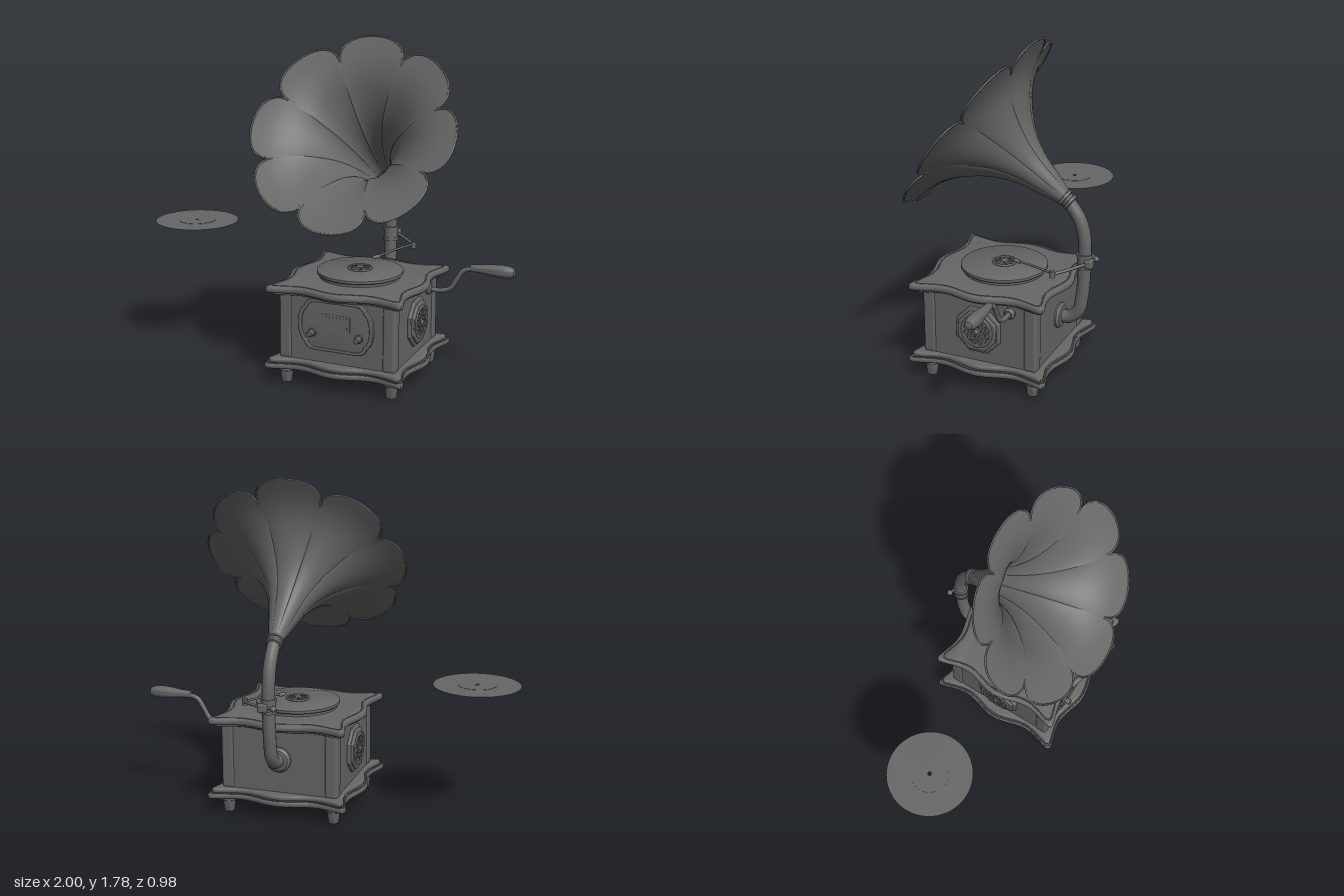
import * as THREE from 'three';
import { toCreasedNormals } from 'three/addons/utils/BufferGeometryUtils.js';
import { RoundedBoxGeometry } from 'three/addons/geometries/RoundedBoxGeometry.js';

const CX = 0.207, CZ = 0.02; // centre of the cabinet

export function createModel() {
  const model = new THREE.Group();
  const grey = new THREE.MeshStandardMaterial({ color: 0x666666, side: THREE.DoubleSide });
  grey.name = 'dark grey';

  const V = (x, y, z) => new THREE.Vector3(x, y, z);
  const add = (name, geo, x = 0, y = 0, z = 0, parent = model) => {
    const mesh = new THREE.Mesh(geo, grey);
    mesh.name = name;
    mesh.position.set(x, y, z);
    parent.add(mesh);
    return mesh;
  };
  const group = (name, x, y, z, parent = model) => {
    const g = new THREE.Group();
    g.name = name;
    g.position.set(x, y, z);
    parent.add(g);
    return g;
  };
  const lathe = (pts, seg = 32) => toCreasedNormals(
    new THREE.LatheGeometry(pts.map(p => new THREE.Vector2(...p)), seg), 0.6);
  const disc = (r, h, seg = 48) => new THREE.CylinderGeometry(r, r, h, seg);
  const tube = (pts, r, seg = 40) =>
    new THREE.TubeGeometry(new THREE.CatmullRomCurve3(pts), seg, r, 16);
  const extrude = (shape, h, b) => toCreasedNormals(new THREE.ExtrudeGeometry(shape, {
    depth: h - 2 * b, bevelThickness: b, bevelSize: b, bevelOffset: -b, bevelSegments: 3, curveSegments: 10,
  }).translate(0, 0, b), 0.6);

  // Wavy square outline shared by the lid and the base
  const wavyOutline = (scale) => {
    const pts = [];
    for (let side = 0; side < 4; side++) {
      const a = side * Math.PI / 2, c = Math.cos(a), s = Math.sin(a);
      const put = (x, y) => pts.push(new THREE.Vector2((x * c - y * s) * scale, (x * s + y * c) * scale));
      for (let i = 0; i <= 24; i++) {
        const t = -0.335 + 0.67 * i / 24;
        put(0.36 + 0.02 * Math.cos(2 * Math.PI * t / 0.4), t);
      }
      for (let i = 1; i < 6; i++) {
        const k = i / 6, m = 2 * k * (1 - k) * 0.388;
        put((1 - k) ** 2 * 0.37 + m + k * k * 0.335, (1 - k) ** 2 * 0.335 + m + k * k * 0.37);
      }
    }
    return pts;
  };
  const plate = (name, y, h, scale, bevel) => add(name,
    extrude(new THREE.Shape(wavyOutline(scale)), h, bevel).rotateX(-Math.PI / 2), CX, y, CZ);
  const bead = (name, y, scale) => add(name, new THREE.TubeGeometry(new THREE.CatmullRomCurve3(
    wavyOutline(scale).map(p => V(p.x, 0, p.y)), true), 240, 0.004, 6, true), CX, y, CZ);

  // Cabinet
  plate('baseLower', 0.085, 0.03, 1.02, 0.01);
  plate('baseUpper', 0.113, 0.028, 0.975, 0.012);
  bead('baseBead', 0.115, 0.995);
  plate('lidMoulding', 0.482, 0.015, 0.94, 0.005);
  plate('lid', 0.494, 0.036, 1, 0.013);
  bead('lidBead', 0.529, 0.93);
  add('cabinetBody', new THREE.BoxGeometry(0.63, 0.36, 0.622), CX, 0.315, CZ);
  for (const sx of [-1, 1]) for (const sz of [-1, 1]) {
    add('cornerPost', new RoundedBoxGeometry(0.07, 0.36, 0.07, 4, 0.016),
      CX + sx * 0.287, 0.315, CZ + sz * 0.283);
    add('foot', lathe([[0, 0], [0.027, 0], [0.029, 0.006], [0.034, 0.06], [0.04, 0.064], [0.04, 0.09], [0, 0.09]], 24),
      CX + sx * 0.293, 0, CZ + sz * 0.287);
  }

  // Front control panel
  const panelShape = (k) => {
    const s = new THREE.Shape();
    s.moveTo(-0.12 * k, -0.135 * k);
    s.lineTo(0.12 * k, -0.135 * k);
    s.quadraticCurveTo(0.165 * k, -0.132 * k, 0.172 * k, -0.098 * k);
    s.bezierCurveTo(0.22 * k, -0.07 * k, 0.22 * k, 0.07 * k, 0.172 * k, 0.098 * k);
    s.quadraticCurveTo(0.165 * k, 0.132 * k, 0.12 * k, 0.135 * k);
    s.lineTo(-0.12 * k, 0.135 * k);
    s.quadraticCurveTo(-0.165 * k, 0.132 * k, -0.172 * k, 0.098 * k);
    s.bezierCurveTo(-0.22 * k, 0.07 * k, -0.22 * k, -0.07 * k, -0.172 * k, -0.098 * k);
    s.quadraticCurveTo(-0.165 * k, -0.132 * k, -0.12 * k, -0.135 * k);
    return s;
  };
  const panel = group('controlPanel', CX, 0.345, 0.33);
  const rim = panelShape(1);
  rim.holes.push(panelShape(0.9));
  add('panelRim', extrude(rim, 0.022, 0.004), 0, 0, 0, panel);
  add('panelFace', extrude(panelShape(0.93), 0.014, 0.003), 0, 0, 0, panel);
  add('display', new THREE.BoxGeometry(0.16, 0.085, 0.008), 0, 0.02, 0.013, panel);
  add('displayGlass', new THREE.BoxGeometry(0.13, 0.06, 0.006), 0, 0.02, 0.016, panel);
  for (const sx of [-1, 1]) {
    add('knob', lathe([[0, 0], [0.022, 0], [0.022, 0.018], [0.017, 0.02], [0.016, 0.045], [0.012, 0.05], [0, 0.05]], 20)
      .rotateX(Math.PI / 2), sx * 0.13, -0.045, 0.006, panel);
  }

  // Side speaker grilles
  const octagon = (r) => {
    const s = new THREE.Shape();
    const q = r * 0.42;
    [[r, -q], [r, q], [q, r], [-q, r], [-r, q], [-r, -q], [-q, -r], [q, -r]]
      .forEach(([x, y], i) => (i ? s.lineTo(x, y) : s.moveTo(x, y)));
    s.closePath();
    return s;
  };
  const hole = (shape, a, r, size) => shape.holes.push(new THREE.Path()
    .absarc(Math.cos(a) * r, Math.sin(a) * r, size, 0, Math.PI * 2, true));
  for (const sx of [-1, 1]) {
    const grille = group('speakerGrille', CX + sx * 0.312, 0.32, CZ);
    grille.rotation.y = sx * Math.PI / 2;
    add('grilleBack', extrude(octagon(0.122), 0.02, 0.006), 0, 0, 0, grille);
    const frame = octagon(0.105);
    hole(frame, 0, 0, 0.085);
    add('grilleFrame', extrude(frame, 0.034, 0.006), 0, 0, 0, grille);
    add('grilleRing', new THREE.TorusGeometry(0.081, 0.008, 10, 40), 0, 0, 0.032, grille);
    const mesh = new THREE.Shape().absarc(0, 0, 0.08, 0, Math.PI * 2);
    for (let i = 0; i < 8; i++) hole(mesh, i * Math.PI / 4, 0.033, 0.010);
    for (let i = 0; i < 12; i++) hole(mesh, (i + 0.5) * Math.PI / 6, 0.061, 0.012);
    add('grilleMesh', extrude(mesh, 0.012, 0.002), 0, 0, 0.026, grille);
    add('grilleBoss', new THREE.SphereGeometry(0.014, 16, 10), 0, 0, 0.034, grille);
  }

  // Turntable with a spoked centre
  add('turntableBase', disc(0.215, 0.025), CX, 0.54, CZ);
  add('turntable', lathe([[0, 0], [0.224, 0], [0.228, 0.004], [0.228, 0.018], [0.222, 0.022], [0, 0.022]], 64), CX, 0.546, CZ);
  const hub = group('turntableHub', CX, 0.57, CZ);
  add('hubRing', new THREE.TorusGeometry(0.06, 0.006, 8, 40).rotateX(Math.PI / 2), 0, 0.003, 0, hub);
  for (let i = 0; i < 8; i++) {
    const spoke = group('hubSpoke', 0, 0, 0, hub);
    spoke.rotation.y = i * Math.PI / 4;
    add('spokeBar', new THREE.BoxGeometry(0.05, 0.012, 0.012), 0.034, 0.003, 0, spoke);
  }
  add('hubPin', lathe([[0.018, -0.002], [0.018, 0.01], [0.008, 0.016], [0, 0.017]], 20), 0, 0, 0, hub);

  // Loose record beside the cabinet
  const recordShape = new THREE.Shape().absarc(0, 0, 0.227, 0, Math.PI * 2);
  hole(recordShape, 0, 0, 0.01);
  const labelShape = new THREE.Shape().absarc(0, 0, 0.1, 0, Math.PI * 2);
  hole(labelShape, 0, 0, 0.01);
  const flat = (shape, h) => toCreasedNormals(new THREE.ExtrudeGeometry(shape,
    { depth: h, bevelEnabled: false, curveSegments: 32 }).rotateX(-Math.PI / 2), 0.6);
  add('record', flat(recordShape, 0.002), -0.773, 0.728, 0.015);
  add('recordLabel', flat(labelShape, 0.005), -0.773, 0.7265, 0.015);

  // Crank
  const crank = group('crank', 0, 0, -0.155);
  add('crankBoss', lathe([[0, 0], [0.03, 0], [0.03, 0.015], [0.02, 0.028], [0, 0.028]], 24).rotateZ(-Math.PI / 2), 0.52, 0.447, 0, crank);
  add('crankRod', tube([V(0.53, 0.447, 0), V(0.6, 0.447, 0), V(0.65, 0.465, 0), V(0.685, 0.52, 0),
    V(0.72, 0.57, 0), V(0.78, 0.588, 0)], 0.013), 0, 0, 0, crank);
  add('crankHandle', lathe([[0, 0], [0.017, 0], [0.02, 0.015], [0.022, 0.05], [0.031, 0.12], [0.034, 0.17],
    [0.031, 0.21], [0.02, 0.234], [0, 0.241]], 24).rotateZ(-Math.PI / 2), 0.759, 0.59, 0, crank);

  // Horn neck
  add('neckFlange', lathe([[0, 0], [0.068, 0], [0.068, 0.012], [0.055, 0.025], [0.036, 0.028]]).rotateX(-Math.PI / 2), CX, 0.322, -0.288);
  add('neck', tube([V(CX, 0.322, -0.29), V(CX, 0.325, -0.35), V(CX, 0.37, -0.398), V(CX, 0.46, -0.418),
    V(CX, 0.62, -0.428), V(CX, 0.78, -0.425), V(CX, 0.88, -0.395), V(CX, 0.97, -0.33)], 0.034, 64));

  // Horn: eight identical petals around the axis
  const horn = group('horn', CX, 0.97, -0.33);
  horn.rotation.x = 0.951;
  add('hornCollar', lathe([[0.034, -0.03], [0.044, -0.026], [0.044, -0.012], [0.038, -0.008], [0.038, 0.004],
    [0.046, 0.008], [0.046, 0.022], [0.038, 0.028]]), 0, 0, 0, horn);
  const profile = new THREE.SplineCurve([[0.035, 0], [0.068, 0.116], [0.113, 0.262], [0.19, 0.392],
    [0.31, 0.51], [0.426, 0.572], [0.555, 0.602]].map(p => new THREE.Vector2(...p)));
  const petalPoint = (u, w) => {
    const psi = (w - 0.5) * Math.PI, fullness = Math.cos(psi);
    const angle = Math.sin(psi) * Math.PI / 8;
    const p = profile.getPoint(u * (0.845 + 0.155 * fullness));
    const r = p.x * (1 - 0.05 * u * (1 - u) * 4 * (1 - fullness));
    return V(Math.sin(angle) * r, p.y, Math.cos(angle) * r);
  };
  const NU = 32, NW = 24, pos = [], idx = [];
  for (let i = 0; i <= NU; i++) for (let j = 0; j <= NW; j++) pos.push(...petalPoint(i / NU, j / NW).toArray());
  for (let i = 0; i < NU; i++) for (let j = 0; j < NW; j++) {
    const a = i * (NW + 1) + j, b = a + NW + 1;
    idx.push(a, a + 1, b, a + 1, b + 1, b);
  }
  const petalGeo = new THREE.BufferGeometry();
  petalGeo.setAttribute('position', new THREE.Float32BufferAttribute(pos, 3));
  petalGeo.setIndex(idx);
  petalGeo.computeVertexNormals();
  const edge = Array.from({ length: 25 }, (_, j) => petalPoint(1, j / 24));
  const edgeGeo = new THREE.TubeGeometry(new THREE.CatmullRomCurve3(edge), 48, 0.005, 6);
  for (let i = 0; i < 8; i++) {
    add('hornPetal', petalGeo, 0, 0, 0, horn).rotation.y = i * Math.PI / 4;
    add('hornPetalEdge', edgeGeo, 0, 0, 0, horn).rotation.y = i * Math.PI / 4;
  }

  // Clamp and tone arm
  for (const y of [0.625, 0.685]) add('clampRing', disc(0.042, 0.016, 32), CX, y, -0.428);
  add('clampSleeve', disc(0.038, 0.06, 32), CX, 0.655, -0.428);
  add('clampLug', new RoundedBoxGeometry(0.05, 0.045, 0.04, 2, 0.008), CX + 0.02, 0.65, -0.46);
  add('clampScrew', tube([V(CX + 0.03, 0.65, -0.44), V(0.2, 0.652, -0.46), V(0.165, 0.653, -0.475)], 0.008, 8));
  add('clampScrewHead', new THREE.SphereGeometry(0.016, 14, 10), 0.165, 0.653, -0.475);
  add('toneArmRear', tube([V(0.235, 0.65, -0.45), V(0.31, 0.64, -0.39), V(0.38, 0.63, -0.325)], 0.008, 12));
  add('toneArmJoint', disc(0.014, 0.036, 16), 0.38, 0.63, -0.322);
  add('toneArm', tube([V(0.38, 0.634, -0.322), V(0.33, 0.628, -0.22), V(0.27, 0.616, -0.09)], 0.006, 16));
  const head = add('toneArmHead', new THREE.SphereGeometry(0.013, 16, 10).scale(1, 0.8, 2.4), 0.262, 0.613, -0.077);
  head.rotation.y = -0.45;

  return model;
}
